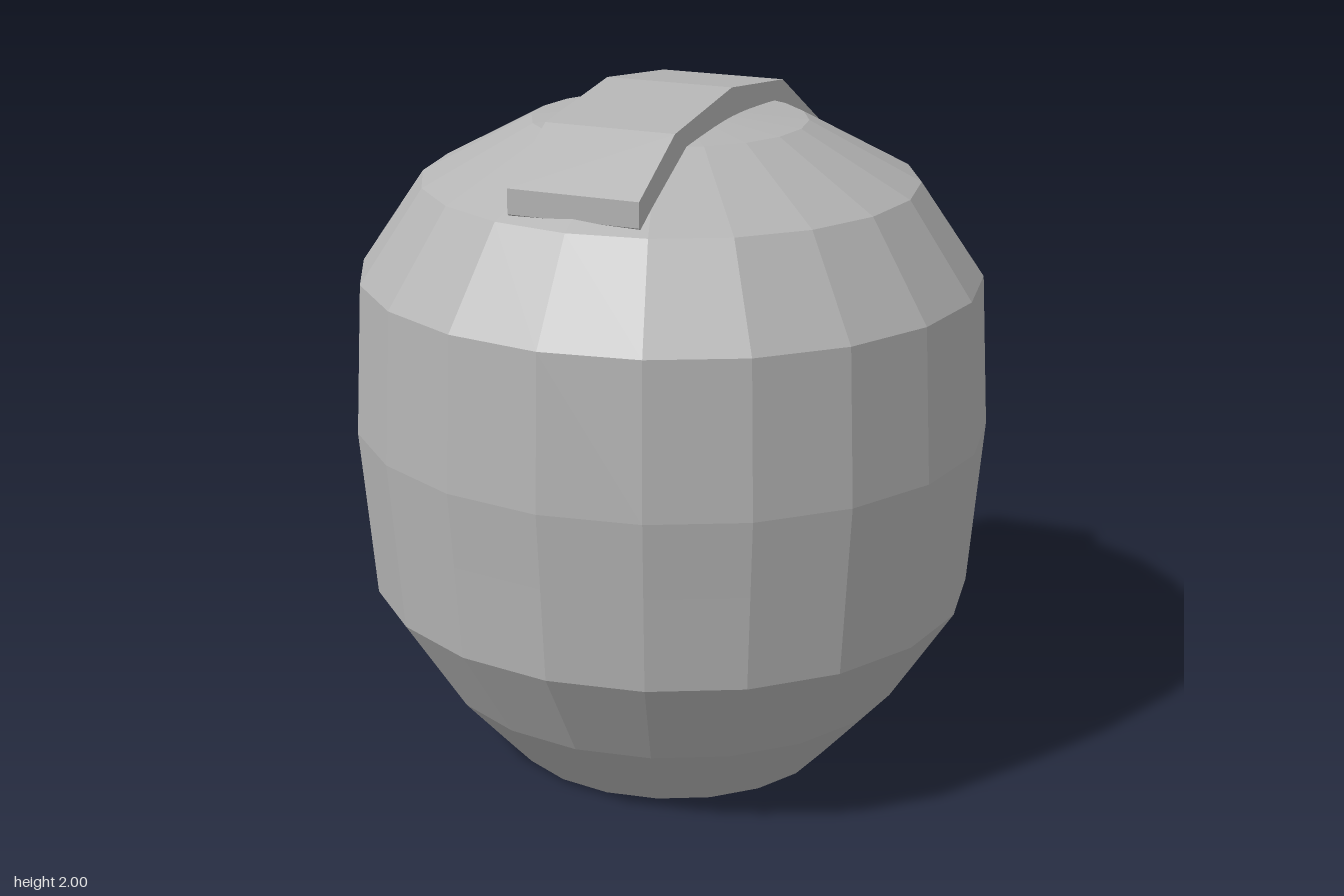
import * as THREE from 'three';
import { mergeGeometries } from 'three/addons/utils/BufferGeometryUtils.js';

const V2 = (p) => new THREE.Vector2(p[0], p[1]);

// Front surface of the face guard: nearly flat nose strip, sides swept back.
function guardZ(x, y) {
  const a = Math.abs(x);
  const z = a < 0.19 ? -0.955 + (0.03 * a) / 0.19 : -0.925 + 0.65 * (a - 0.19);
  return z - 0.015 * (1.2 - y);
}

// Mirrors a half outline (top centre, down the +x side) into a closed loop.
function fullLoop(half) {
  const mirrored = half.filter((p) => p[0] > 0).map(([x, y]) => [-x, y]).reverse();
  return [...half, ...mirrored];
}

const at = (loop, depth) => loop.map(([x, y]) => [x, y, depth(x, y)]);

// Wall between two closed loops; outward facing unless inside is set.
function wall(a, b, inside) {
  const pos = [];
  a.forEach((p, i) => {
    const j = (i + 1) % a.length;
    const [q, r, s] = [a[j], b[i], b[j]];
    const tris = inside ? [p, s, r, p, q, s] : [p, r, s, p, s, q];
    tris.forEach((v) => pos.push(...v));
  });
  const g = new THREE.BufferGeometry();
  g.setAttribute('position', new THREE.Float32BufferAttribute(pos, 3));
  g.computeVertexNormals();
  return g;
}

// Flat panel facing -z, draped on a depth rule, optionally mirrored in x.
function panel(points, depth, mirror = false) {
  const src = new THREE.ShapeGeometry(new THREE.Shape(points.map(V2))).toNonIndexed();
  const p = src.attributes.position;
  const pos = [];
  for (let i = 0; i < p.count; i += 3) {
    const order = mirror ? [i, i + 1, i + 2] : [i, i + 2, i + 1];
    for (const k of order) {
      const x = p.getX(k), y = p.getY(k);
      pos.push(mirror ? -x : x, y, depth(x, y));
    }
  }
  const g = new THREE.BufferGeometry();
  g.setAttribute('position', new THREE.Float32BufferAttribute(pos, 3));
  g.computeVertexNormals();
  return g;
}

export function createModel() {
  const model = new THREE.Group();
  const grey = new THREE.MeshStandardMaterial({ color: 0xb4b4b4 });
  grey.name = 'plain grey';
  grey.flatShading = true;
  grey.side = THREE.DoubleSide;

  function add(name, geometry) {
    const mesh = new THREE.Mesh(geometry, grey);
    mesh.name = name;
    model.add(mesh);
    return mesh;
  }

  // Helmet shell: 20-sided bands; some leave a gap behind the visor opening.
  // Each entry is [profile points, sectors left open on each side].
  const bands = [
    [[[0, 0], [0.49, 0], [0.562, 0.08]], 0],
    [[[0.562, 0.08], [0.7, 0.235], [0.885, 0.525]], 1],
    [[[0.885, 0.525], [0.907, 0.8]], 2],
    [[[0.907, 0.8], [0.925, 1.02]], 3],
    [[[0.925, 1.02], [0.9, 1.46], [0.715, 1.73], [0.395, 1.9], [0, 1.935]], 0],
  ];
  const sector = Math.PI / 10;
  const shell = mergeGeometries(bands.map(([profile, open]) =>
    new THREE.LatheGeometry(profile.map(V2), 20 - 2 * open,
      Math.PI + open * sector, (20 - 2 * open) * sector).toNonIndexed()));
  shell.scale(1, 1, 0.962);
  shell.translate(0, 0, 0.075);
  shell.computeVertexNormals();
  add('helmetShell', shell);

  // Crest: faceted band arching over the crown.
  const crestProfile = [
    [0.715, 1.75], [0.715, 1.82], [0.48, 1.95], [0.08, 2], [-0.32, 1.95],
    [-0.64, 1.77], [-0.7, 1.64], [-0.71, 1.58], [-0.6, 1.6], [0, 1.8], [0.6, 1.68],
  ];
  const crest = new THREE.ExtrudeGeometry(new THREE.Shape(crestProfile.map(V2)),
    { depth: 0.38, bevelEnabled: false });
  crest.translate(0, 0, -0.19);
  crest.rotateY(-Math.PI / 2);
  add('crest', crest);

  // Face guard: angular outline with a T-shaped opening.
  const outline = fullLoop([[0, 1.21], [0.19, 1.21], [0.72, 1.31], [0.78, 0.93],
    [0.6, 0.42], [0.19, 0.07]]);
  const opening = fullLoop([[0, 0.84], [0.19, 0.88], [0.6, 0.97], [0.54, 0.66],
    [0.19, 0.53], [0.13, 0.51], [0.13, 0.085]]);
  const inner = fullLoop([[0, 0.835], [0.19, 0.865], [0.57, 0.94], [0.52, 0.68],
    [0.17, 0.55], [0.11, 0.53], [0.11, 0.09]]);

  add('guardSides', wall(at(outline, guardZ), at(outline, () => -0.3)));

  const panels = [
    // brow centre
    [[0, 0.84], [0.19, 0.88], [0.19, 1.21], [0, 1.21]],
    // brow side and cheek
    [[0.19, 1.21], [0.72, 1.31], [0.78, 0.93], [0.6, 0.42], [0.19, 0.07],
      [0.19, 0.53], [0.54, 0.66], [0.6, 0.97], [0.19, 0.88]],
    // slot edge
    [[0.13, 0.07], [0.19, 0.07], [0.19, 0.53], [0.13, 0.51]],
    // chin strip
    [[0, 0.07], [0.13, 0.07], [0.13, 0.085], [0, 0.085]],
  ];
  add('guardFront', mergeGeometries(panels.flatMap((p) =>
    [panel(p, guardZ), panel(p, guardZ, true)])));

  // Opening: bevelled rim, deep walls and back.
  const rimZ = (x, y) => guardZ(x, y) + 0.025;
  add('openingRim', wall(at(opening, guardZ), at(inner, rimZ), true));
  add('openingWalls', wall(at(inner, rimZ), at(inner, () => -0.2), true));
  add('openingBack', panel(inner, () => -0.2));

  return model;
}
